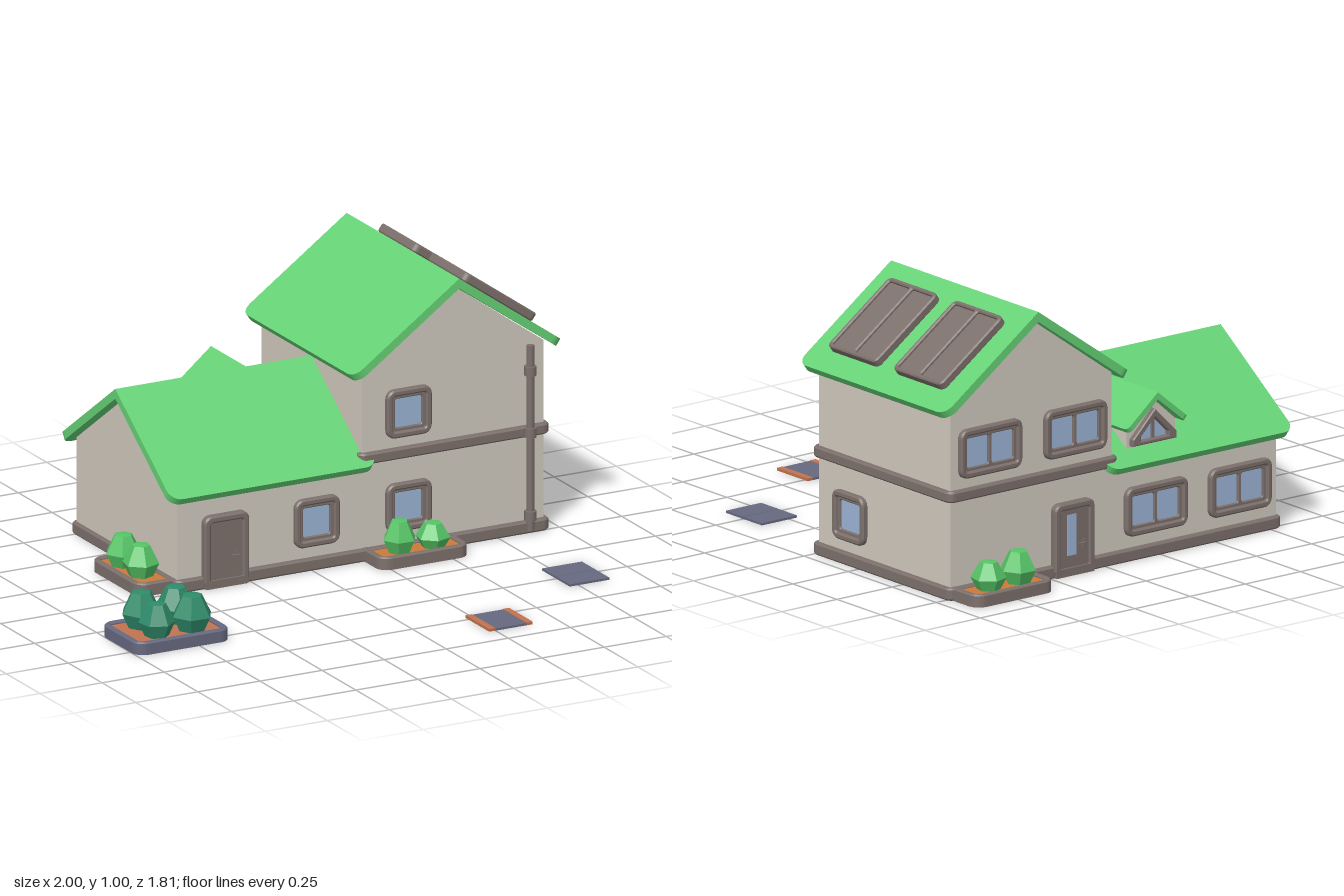
import * as THREE from 'three';

const mat = (name, color, extra = {}) => {
  const m = new THREE.MeshStandardMaterial({ color, ...extra });
  m.name = name;
  return m;
};

// Rounded rectangle; round only the lower corners when topR is 0
function roundRect(Type, w, h, r, topR = r) {
  const s = new Type(), a = w / 2, b = h / 2;
  s.moveTo(-a, -b + r);
  s.absarc(-a + r, -b + r, r, Math.PI, 1.5 * Math.PI);
  s.absarc(a - r, -b + r, r, 1.5 * Math.PI, 2 * Math.PI);
  if (topR) {
    s.absarc(a - topR, b - topR, topR, 0, Math.PI / 2);
    s.absarc(-a + topR, b - topR, topR, Math.PI / 2, Math.PI);
  } else {
    s.lineTo(a, b);
    s.lineTo(-a, b);
  }
  s.closePath();
  return s;
}

// Extrusion from z = 0 to z = depth, with an optional chamfer kept inside the outline
function extrude(shape, depth, bevel = 0) {
  const g = new THREE.ExtrudeGeometry(shape, {
    depth: depth - 2 * bevel, curveSegments: 3, bevelEnabled: bevel > 0,
    bevelThickness: bevel, bevelSize: bevel, bevelOffset: -bevel, bevelSegments: 1,
  });
  return g.translate(0, 0, bevel);
}

// Frame with one or more openings side by side
function frameGeometry(w, h, border, depth, panes, r, bevel) {
  const s = roundRect(THREE.Shape, w, h, r);
  const pw = (w - border * (panes + 1)) / panes;
  for (let i = 0; i < panes; i++) {
    const cx = -w / 2 + border + pw / 2 + i * (pw + border);
    const hole = new THREE.Path(roundRect(THREE.Path, pw, h - 2 * border, 0.008).getPoints(3)
      .map((p) => new THREE.Vector2(p.x + cx, p.y)));
    s.holes.push(hole);
  }
  return extrude(s, depth, bevel);
}

export function createModel() {
  const root = new THREE.Group();
  root.name = 'house';
  const wall = mat('wall beige', 0xd0c9be);
  const trim = mat('trim brown', 0x7c706c);
  const roof = mat('roof green', 0x66d276);
  const glass = mat('glass blue', 0x9cb4d6);
  const leaf = mat('light leaf green', 0x56c466);
  const darkLeaf = mat('dark leaf green', 0x2f8b6b);
  const slate = mat('slate', 0x66687f);
  const soil = mat('soil orange', 0xcc7a3c);
  const clay = mat('clay', 0xc07350);

  const add = (parent, name, geo, material, x = 0, y = 0, z = 0) => {
    const m = new THREE.Mesh(geo, material);
    m.name = name;
    m.position.set(x, y, z);
    parent.add(m);
    return m;
  };
  const group = (parent, name, x = 0, y = 0, z = 0, ry = 0) => {
    const g = new THREE.Group();
    g.name = name;
    g.position.set(x, y, z);
    g.rotation.y = ry;
    parent.add(g);
    return g;
  };
  const box = (w, h, d) => new THREE.BoxGeometry(w, h, d);
  const ZC = -0.3825, FRONT = -0.01, BACK = -0.755;

  // Walls: a gabled prism, ridge along local z
  const gable = (half, bottom, eave, apex, depth) => extrude(new THREE.Shape([
    [-half, bottom], [half, bottom], [half, eave], [0, apex], [-half, eave],
  ].map(([x, y]) => new THREE.Vector2(x, y))), depth).translate(0, 0, -depth / 2);
  add(root, 'tall wing walls', gable(0.365, 0.01, 0.706, 0.967, 0.745), wall, 0.575, 0, ZC);
  add(root, 'low wing walls', gable(0.3725, 0.01, 0.36, 0.622, 0.85), wall, -0.11, 0, ZC)
    .rotation.y = Math.PI / 2;

  // Plinth and storey band
  const flat = (w, d, h, bevel = 0.006, r = 0.03) =>
    extrude(roundRect(THREE.Shape, w, d, r), h, bevel).rotateX(-Math.PI / 2);
  add(root, 'plinth', flat(1.51, 0.79, 0.045), trim, 0.205, 0, ZC);
  add(root, 'storey band', flat(0.77, 0.79, 0.04), trim, 0.575, 0.36, ZC);

  // Roofs: pairs of slabs hung from the ridge, eave corners rounded
  function roofPair(name, x, y, z, ry, width, length, pitch, thick, r) {
    const g = group(root, name, x, y, z, ry);
    return [0, Math.PI].map((turn) => {
      const side = group(g, name + ' side', 0, 0, 0, turn);
      const geo = extrude(roundRect(THREE.Shape, width, length, r, 0), thick)
        .translate(0, -length / 2, -thick);
      const slab = add(side, name + ' slab', geo, roof);
      slab.rotation.x = pitch - Math.PI / 2;
      return slab;
    });
  }
  roofPair('low roof', -0.165, 0.655, -0.385, 0, 0.83, 0.513, 0.612, 0.03, 0.045);
  const [sunny] = roofPair('tall roof', 0.577, 1.005, ZC, Math.PI / 2, 0.835, 0.52, 0.617, 0.03, 0.045);
  roofPair('dormer roof', 0.02, 0.603, -0.615, Math.PI / 2, 0.33, 0.18, 0.69, 0.02, 0.02);

  // Solar panels on the outer slope
  for (const x of [0.1875, -0.1825]) {
    const g = group(sunny, 'solar panel', x, -0.257, 0);
    add(g, 'panel frame', frameGeometry(0.275, 0.35, 0.016, 0.034, 2, 0.022, 0.005), trim);
    add(g, 'panel cells', box(0.25, 0.32, 0.022), trim, 0, 0, 0.011);
  }

  // Dormer front with a triangular window
  const dormer = group(root, 'dormer', 0.02, 0, -0.62, Math.PI);
  add(dormer, 'dormer walls', gable(0.11, 0.36, 0.48, 0.577, 0.24), wall);
  const tri = (k, Type) => new Type([[-0.1, -0.06], [0.1, -0.06], [0.1, -0.035], [0, 0.065], [-0.1, -0.035]]
    .map(([x, y]) => new THREE.Vector2(x * k, -0.02 + (y + 0.02) * k)));
  const triFrame = tri(1, THREE.Shape);
  triFrame.holes.push(tri(0.62, THREE.Path));
  add(dormer, 'dormer window frame', extrude(triFrame, 0.025, 0.004), trim, 0, 0.475, 0.12);
  add(dormer, 'dormer glass', extrude(tri(0.7, THREE.Shape), 0.006), glass, 0, 0.475, 0.12);
  add(dormer, 'dormer mullion', box(0.012, 0.09, 0.014), trim, 0, 0.462, 0.126);

  // Windows
  function windowUnit(x, y, z, ry, w = 0.18, panes = 1) {
    const g = group(root, 'window', x, y, z, ry);
    add(g, 'window frame', frameGeometry(w, 0.18, 0.024, 0.026, 1, 0.032, 0.006), trim);
    add(g, 'window sash', frameGeometry(w - 0.04, 0.14, 0.016, 0.014, panes, 0.01, 0.003), trim);
    add(g, 'window glass', box(w - 0.05, 0.13, 0.006), glass, 0, 0, 0.003);
  }
  for (const [x, y] of [[0.02, 0.18], [0.39, 0.18], [0.39, 0.53]]) windowUnit(x, y, FRONT, 0);
  windowUnit(0.94, 0.18, -0.2, Math.PI / 2);
  for (const [x, y] of [[0.77, 0.53], [0.385, 0.53], [0.02, 0.18], [-0.36, 0.18]])
    windowUnit(x, y, BACK, Math.PI, 0.28, 2);

  // Doors: the back one has a tall glass slit
  function door(x, z, ry, glazed) {
    const g = group(root, 'door', x, 0.135, z, ry);
    add(g, 'door frame', frameGeometry(0.18, 0.27, 0.026, 0.034, 1, 0.028, 0.006), trim);
    add(g, 'door leaf', box(0.14, 0.25, 0.026), trim, 0, -0.008, 0.013);
    add(g, 'door threshold', box(0.17, 0.03, 0.034), trim, 0, -0.119, 0.017);
    add(g, 'handle plate', box(0.012, 0.034, 0.006), trim, 0.042, -0.025, 0.028);
    add(g, 'handle', box(0.03, 0.007, 0.008), trim, 0.033, -0.022, 0.036);
    if (glazed) add(g, 'door glass', box(0.04, 0.15, 0.004), glass, -0.012, 0.015, 0.027);
  }
  door(-0.35, FRONT, 0, false);
  door(0.4, BACK, Math.PI, true);

  // Drainpipe with collars
  const pipe = group(root, 'drainpipe', 0.873, 0, 0.018);
  add(pipe, 'pipe', new THREE.CylinderGeometry(0.014, 0.014, 0.69, 12), trim, 0, 0.36, 0);
  for (const y of [0.07, 0.38, 0.61])
    add(pipe, 'pipe collar', new THREE.CylinderGeometry(0.022, 0.022, 0.035, 12), trim, 0, y, 0);

  // Bush: stacked six-sided rings with flat facets
  function bush(parent, material, x, z, h, r, turn = 0) {
    const geo = new THREE.LatheGeometry([[0, 0], [0.65, 0], [1, 0.42], [0.5, 0.97], [0, 1]]
      .map(([a, b]) => new THREE.Vector2(a * r, b * h)), 6).toNonIndexed();
    geo.computeVertexNormals();
    add(parent, 'bush', geo, material, x, 0.035, z).rotation.y = turn;
  }

  // Planters
  function planter(name, x0, x1, z0, z1, rim, fill, leaves, bushes) {
    const w = x1 - x0, d = z1 - z0, cx = (x0 + x1) / 2, cz = (z0 + z1) / 2;
    const g = group(root, name);
    add(g, 'planter base', flat(w, d, 0.03, 0, 0.045), rim, cx, 0, cz);
    add(g, 'planter rim', frameGeometry(w, d, 0.024, 0.046, 1, 0.045, 0.005).rotateX(-Math.PI / 2),
      rim, cx, 0, cz);
    add(g, 'planter soil', box(w - 0.035, 0.008, d - 0.035), fill, cx, 0.033, cz);
    bushes.forEach(([x, z, h, r], i) => bush(g, leaves, x, z, h, r, 0.5 + i * 0.35));
  }
  planter('end planter', -0.685, -0.5, -0.38, -0.02, trim, soil, leaf,
    [[-0.61, -0.27, 0.12, 0.067], [-0.61, -0.14, 0.12, 0.067]]);
  planter('front planter', 0.21, 0.57, -0.05, 0.135, trim, soil, leaf,
    [[0.32, 0.065, 0.122, 0.062], [0.455, 0.065, 0.092, 0.064]]);
  planter('back planter', 0.58, 0.94, -0.905, -0.7, trim, soil, leaf,
    [[0.69, -0.828, 0.122, 0.067], [0.825, -0.828, 0.105, 0.064]]);
  planter('garden planter', -1, -0.62, 0.275, 0.555, slate, clay, darkLeaf,
    [[-0.88, 0.36, 0.135, 0.075], [-0.745, 0.365, 0.135, 0.072],
      [-0.88, 0.475, 0.125, 0.066], [-0.738, 0.475, 0.135, 0.075]]);

  // Paving tiles
  for (const z of [0.446, 0.549]) add(root, 'paving tile', box(0.16, 0.008, 0.101), slate, 0.795, 0.004, z);
  add(root, 'edged paving tile', box(0.125, 0.008, 0.175), slate, 0.3125, 0.004, 0.8175);
  for (const s of [-1, 1])
    add(root, 'paving edge', box(0.025, 0.01, 0.175), clay, 0.3125 + s * 0.075, 0.005, 0.8175);

  return root;
}
